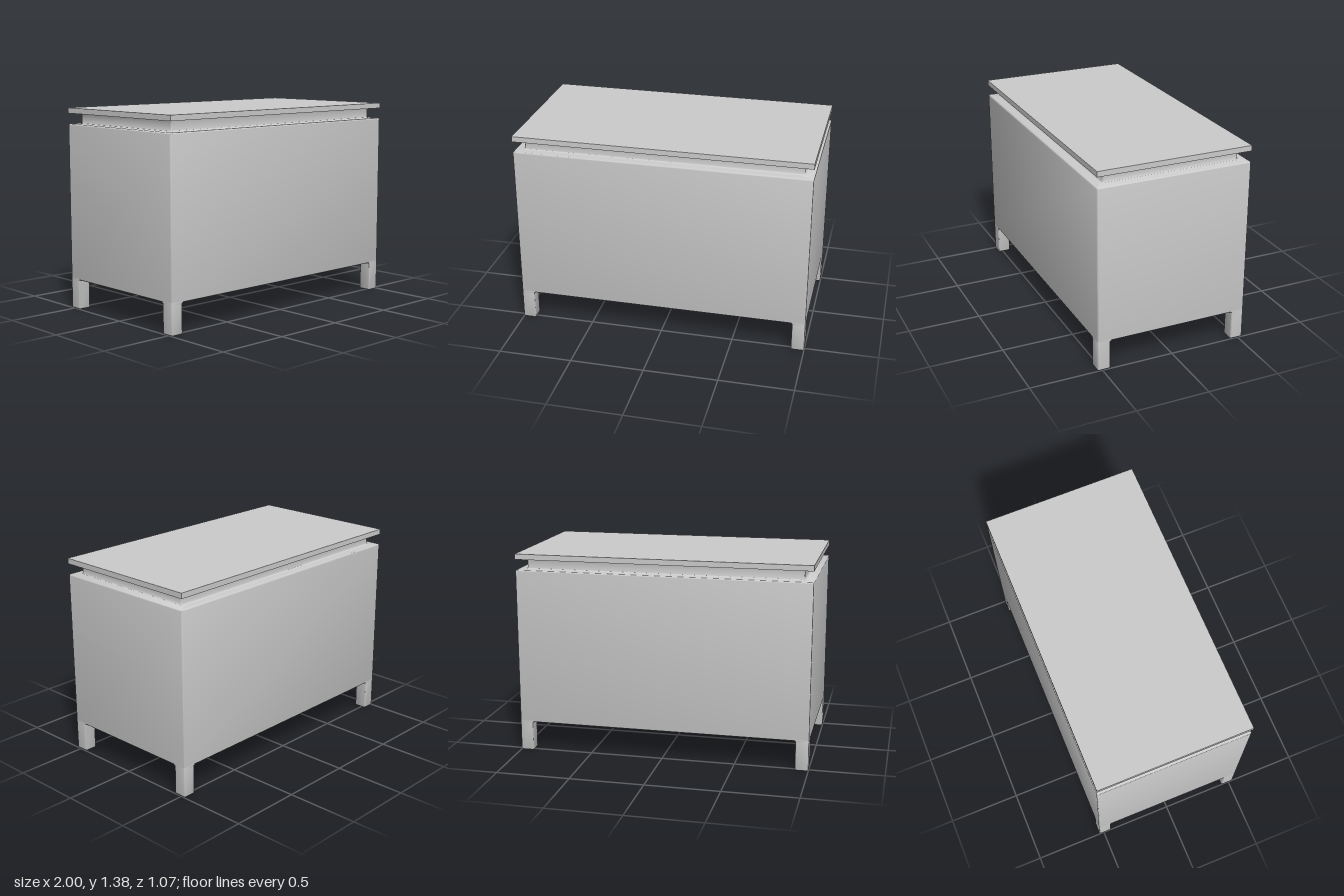
import * as THREE from 'three';
import { toCreasedNormals } from 'three/addons/utils/BufferGeometryUtils.js';

const W = 1, D = 0.533, R = 0.01; // half width, half depth, edge radius
const material = new THREE.MeshStandardMaterial({ color: 0xcccccc });

// Rounded-rectangle outline between two corners at height y
function section(x0, x1, z0, z1, y, r = R) {
  const points = [];
  for (let c = 0; c < 4; c++) {
    const cx = c === 0 || c === 3 ? x1 - r : x0 + r;
    const cz = c < 2 ? z1 - r : z0 + r;
    for (let i = 0; i <= 4; i++) {
      const a = (c + i / 4) * Math.PI / 2;
      points.push(new THREE.Vector3(cx + r * Math.cos(a), y, cz + r * Math.sin(a)));
    }
  }
  return points;
}

// Skin stacked outlines from bottom to top and cap both ends
function loft(name, rings) {
  const n = rings[0].length, pos = [];
  const tri = (a, b, c) => pos.push(...a, ...b, ...c);
  const centre = ring => ring.reduce((s, p) => s.add(p), new THREE.Vector3()).divideScalar(n);
  const first = rings[0], last = rings[rings.length - 1];
  const bottom = centre(first), top = centre(last);
  for (let j = 0; j < n; j++) {
    const k = (j + 1) % n;
    for (let i = 0; i < rings.length - 1; i++) {
      const lo = rings[i], hi = rings[i + 1];
      tri(lo[j], hi[j], lo[k]);
      tri(lo[k], hi[j], hi[k]);
    }
    tri(bottom, first[j], first[k]);
    tri(top, last[k], last[j]);
  }
  const geometry = new THREE.BufferGeometry();
  geometry.setAttribute('position', new THREE.Float32BufferAttribute(pos, 3));
  const mesh = new THREE.Mesh(toCreasedNormals(geometry, 0.6), material);
  mesh.name = name;
  return mesh;
}

// Quarter-round steps: [inset, rise] as fractions of the radius
const round = [0, 1, 2, 3, 4].map(i => {
  const a = i / 4 * Math.PI / 2;
  return [1 - Math.sin(a), 1 - Math.cos(a)];
});

export function createModel() {
  const group = new THREE.Group();
  const bodyBottom = 0.204, bodyTop = 1.27, slabBottom = 1.341, slabTop = 1.378;

  // Cabinet body with rounded edges
  const inset = (d, y) => section(-W + d, W - d, -D + d, D - d, y, Math.max(R - d, 0.0005));
  group.add(loft('body', [
    ...round.map(([d, h]) => inset(d * R, bodyBottom + h * R)),
    ...[...round].reverse().map(([d, h]) => inset(d * R, bodyTop - h * R)),
  ]));

  // Corner legs: rounded feet, filleted into the body on the inner sides
  const leg = 0.09;
  for (const sx of [-1, 1]) for (const sz of [-1, 1]) {
    const ring = (outer, inner, y) => {
      const xs = [sx * (W - outer), sx * (W - leg + inner)].sort((a, b) => a - b);
      const zs = [sz * (D - outer), sz * (D - leg + inner)].sort((a, b) => a - b);
      return section(...xs, ...zs, y, Math.max(R - outer, 0.0005));
    };
    const side = (sz > 0 ? 'front' : 'back') + (sx > 0 ? 'Left' : 'Right');
    group.add(loft(side + 'Leg', [
      ...round.map(([d, h]) => ring(d * R, d * R, h * R)),
      ...[...round].reverse().map(([d, h]) => ring(0, -d * R, bodyBottom - h * R)),
      ring(0, -R, bodyBottom + R),
    ]));
  }

  // Recessed neck, flared where it meets the body and the top
  const nx = 0.936, nz = 0.468;
  const flare = (d, y) => section(-nx - d, nx + d, -nz - d, nz + d, y, R + d);
  group.add(loft('neck', [
    ...[...round].reverse().map(([d, h]) => [d, 1 - h]).reverse()
      .map(([d], i) => flare((1 - Math.cos((1 - i / 4) * Math.PI / 2)) * R,
        bodyTop + (1 - Math.sin((1 - i / 4) * Math.PI / 2)) * R)),
    ...round.map((_, i) => flare((1 - Math.cos(i / 4 * Math.PI / 2)) * R,
      slabBottom - (1 - Math.sin(i / 4 * Math.PI / 2)) * R)),
  ]));

  // Flat square-edged top
  const slab = new THREE.Mesh(
    new THREE.BoxGeometry(2 * W, slabTop - slabBottom, 2 * D), material);
  slab.position.y = (slabTop + slabBottom) / 2;
  slab.name = 'tabletop';
  group.add(slab);

  return group;
}
